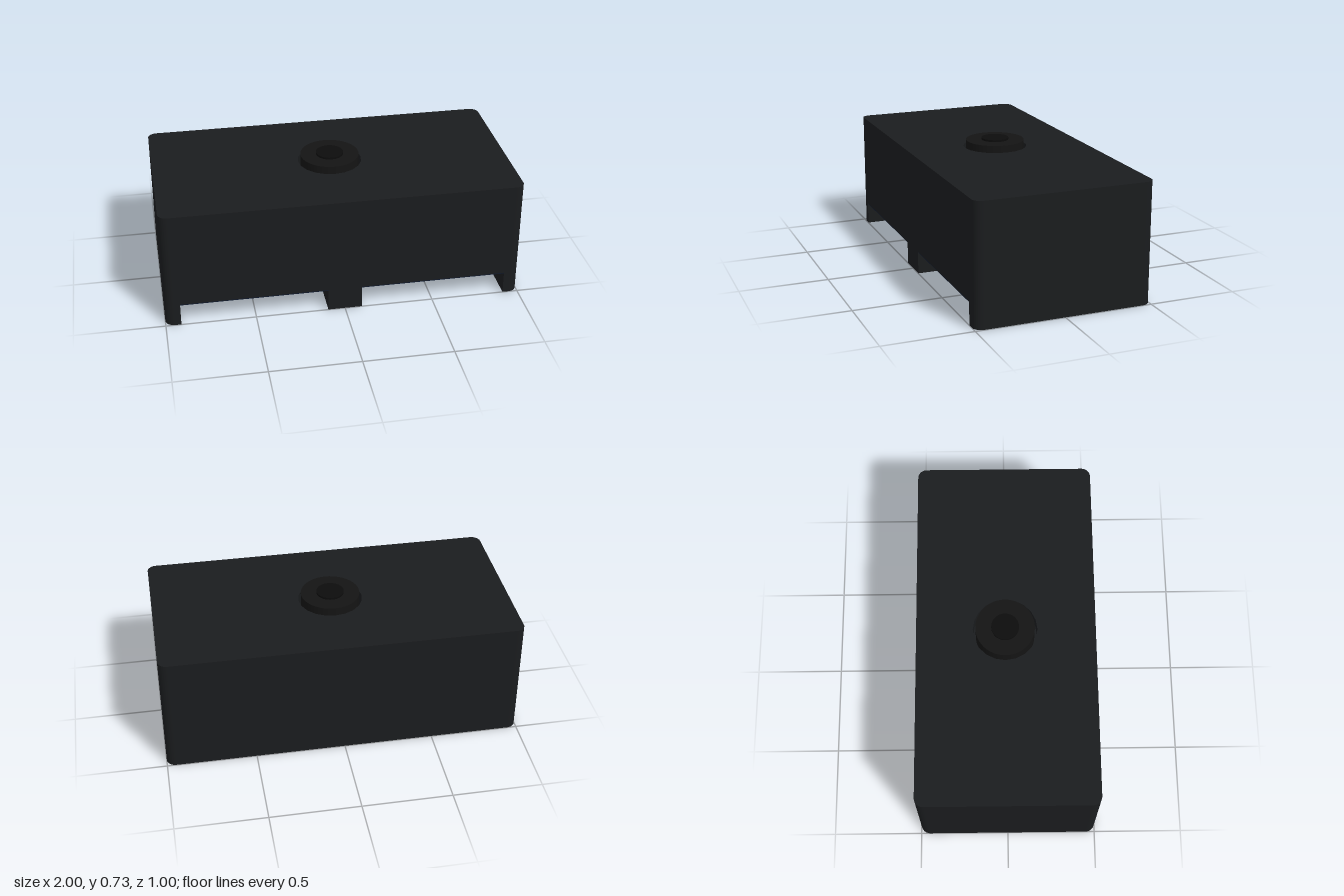
import * as THREE from 'three';
import { toCreasedNormals } from 'three/addons/utils/BufferGeometryUtils.js';

const W = 1, D = 0.5, R = 0.05;           // half width, half depth, corner radius
const SLOT_Y = 0.13, LID_Y = 0.58, TOP_Y = 0.68;
const SLOT_IN = 0.095, SLOT_OUT = 0.915, SLOT_BACK = -0.07;
const KNOB_Z = -0.005;

const paint = (color) => new THREE.MeshStandardMaterial({ color });
const shellMat = paint(0x1a1c1e);
const headerMat = paint(0x1d2022);
const knobMat = paint(0x141414);
const tipMat = paint(0x0c0c0c);
const boardMat = paint(0x0f1a30);
const pinMat = paint(0xb8964a);

// Rounded footprint; shape y is -z. With slots, two bays open to the front.
function footprint(slots) {
  const s = new THREE.Shape();
  s.moveTo(-W + R, -D);
  if (slots) {
    for (const [a, b] of [[-SLOT_OUT, -SLOT_IN], [SLOT_IN, SLOT_OUT]]) {
      s.lineTo(a, -D);
      s.lineTo(a, -SLOT_BACK);
      s.lineTo(b, -SLOT_BACK);
      s.lineTo(b, -D);
    }
  }
  s.lineTo(W - R, -D);
  s.absarc(W - R, -D + R, R, -Math.PI / 2, 0);
  s.absarc(W - R, D - R, R, 0, Math.PI / 2);
  s.absarc(-W + R, D - R, R, Math.PI / 2, Math.PI);
  s.absarc(-W + R, -D + R, R, Math.PI, Math.PI * 1.5);
  return s;
}

function slab(shape, y0, y1) {
  const g = new THREE.ExtrudeGeometry(shape, { depth: y1 - y0, bevelEnabled: false, curveSegments: 10 });
  g.rotateX(-Math.PI / 2);
  g.translate(0, y0, 0);
  return toCreasedNormals(g, 0.6);
}

export function createModel() {
  const model = new THREE.Group();
  const add = (name, geometry, material, x = 0, y = 0, z = 0, parent = model) => {
    const m = new THREE.Mesh(geometry, material);
    m.name = name;
    m.position.set(x, y, z);
    parent.add(m);
    return m;
  };

  // Housing: slotted base, solid core, lid with a round opening
  const lid = footprint(false);
  const opening = new THREE.Path();
  opening.absarc(0, -KNOB_Z, 0.18, 0, Math.PI * 2, true);
  lid.holes.push(opening);
  const housing = new THREE.Group();
  housing.name = 'housing';
  model.add(housing);
  add('housingBase', slab(footprint(true), 0, SLOT_Y), shellMat, 0, 0, 0, housing);
  add('housingCore', slab(footprint(false), SLOT_Y, LID_Y), shellMat, 0, 0, 0, housing);
  lid.curveSegments = 24;
  add('housingLid', slab(lid, LID_Y, TOP_Y), shellMat, 0, 0, 0, housing);

  // Round knob standing in the opening, with a small raised centre
  add('knob', new THREE.CylinderGeometry(0.165, 0.165, 0.137, 48), knobMat, 0, 0.6485, KNOB_Z);
  add('knobCentre', new THREE.CylinderGeometry(0.077, 0.077, 0.02, 36), tipMat, 0, 0.718, KNOB_Z);

  // Each bay: board on the ceiling, header block at the back, six square pins
  const bayX = (SLOT_IN + SLOT_OUT) / 2, bayW = SLOT_OUT - SLOT_IN;
  for (const side of [-1, 1]) {
    const bay = new THREE.Group();
    bay.name = side > 0 ? 'leftConnector' : 'rightConnector';
    bay.position.x = side * bayX;
    model.add(bay);
    add('circuitBoard', new THREE.BoxGeometry(bayW, 0.006, D - SLOT_BACK - 0.004), boardMat,
      0, SLOT_Y - 0.003, (D + SLOT_BACK) / 2, bay);
    add('header', new THREE.BoxGeometry(bayW - 0.02, SLOT_Y - 0.008, 0.1), headerMat,
      0, SLOT_Y / 2 - 0.005, SLOT_BACK - 0.046, bay);
    for (let i = 0; i < 6; i++) {
      add('pin', new THREE.BoxGeometry(0.028, 0.028, 0.35), pinMat,
        (i - 2.5) * 0.129, 0.065, 0.095, bay);
    }
  }
  return model;
}
